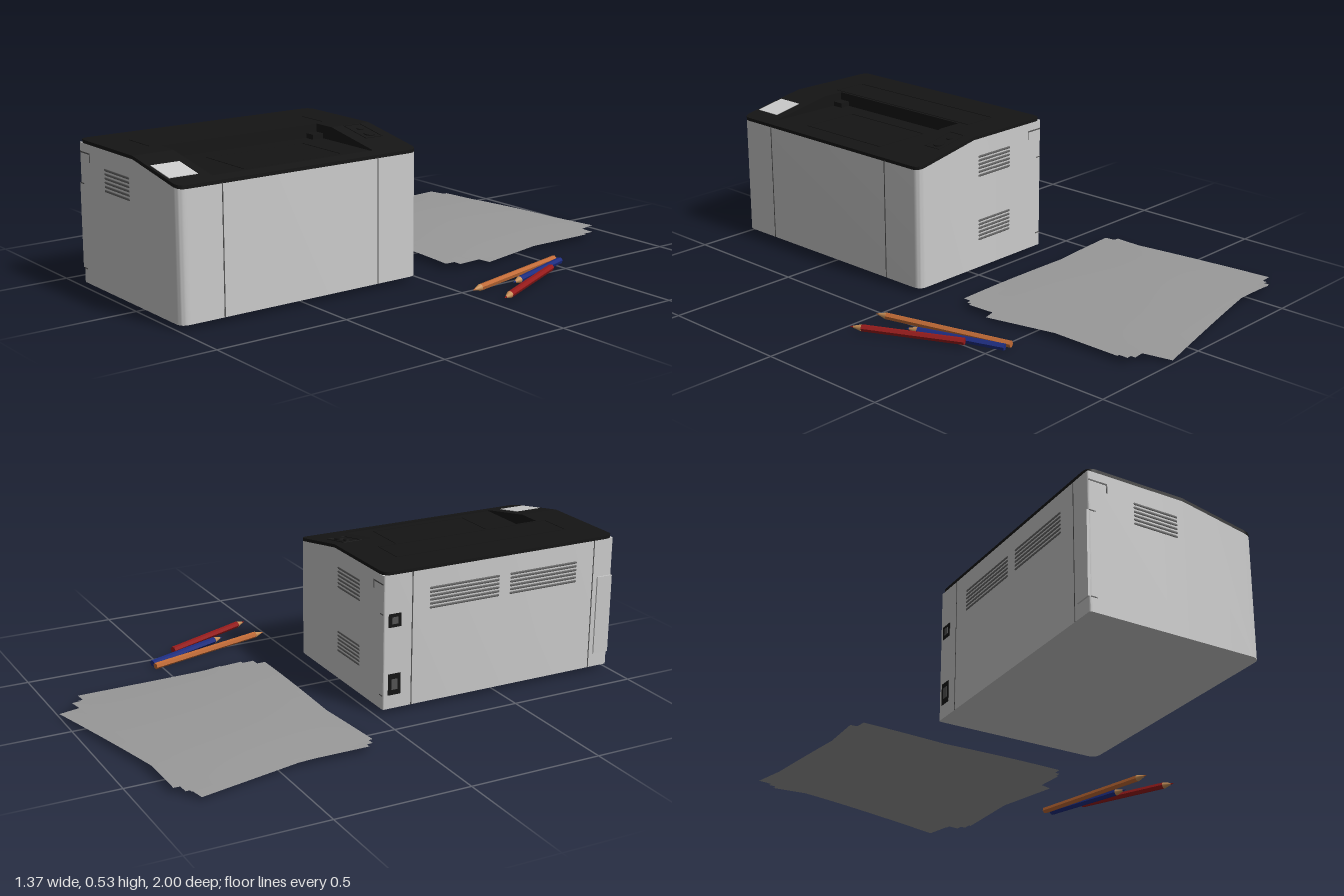
import * as THREE from 'three';
import { toCreasedNormals } from 'three/addons/utils/BufferGeometryUtils.js';

const mat = (color) => new THREE.MeshStandardMaterial({ color });
const grey = mat(0xcccccc), black = mat(0x151515), slotMat = mat(0x666666);
const seamMat = mat(0x555555), wood = mat(0xc89058);
const paper = new THREE.MeshStandardMaterial({ color: 0x999999, side: THREE.DoubleSide });

const X0 = -0.368, X1 = 0.283, Z0 = 0.025, Z1 = 0.995; // printer footprint
const topY = (x) => (x < 0 ? 0.53 : 0.53 - (0.052 * x) / X1);

function add(parent, name, geometry, material, x = 0, y = 0, z = 0) {
  const m = new THREE.Mesh(geometry, material);
  m.name = name;
  m.position.set(x, y, z);
  parent.add(m);
  return m;
}

function box(parent, name, material, x0, x1, y0, y1, z0, z1) {
  return add(parent, name, new THREE.BoxGeometry(x1 - x0, y1 - y0, z1 - z0), material,
    (x0 + x1) / 2, (y0 + y1) / 2, (z0 + z1) / 2);
}

// Half of the plan outline from x = 0 to xEnd, notched for the paper tray
function halfPlan(xEnd, r, notchX, nz0, nz1) {
  const q = xEnd - Math.sign(xEnd) * r, s = new THREE.Shape();
  s.moveTo(0, Z0);
  s.lineTo(q, Z0);
  s.quadraticCurveTo(xEnd, Z0, xEnd, Z0 + r);
  s.lineTo(xEnd, Z1 - r);
  s.quadraticCurveTo(xEnd, Z1, q, Z1);
  s.lineTo(0, Z1);
  s.lineTo(0, nz1);
  s.lineTo(notchX, nz1);
  s.lineTo(notchX, nz0);
  s.lineTo(0, nz0);
  return s;
}

// Extrude a plan upward, then move its two ends onto the bottom and top rules
function raise(shape, bottom, top) {
  const g = new THREE.ExtrudeGeometry(shape, { depth: 1, bevelEnabled: false, curveSegments: 8 });
  g.rotateX(Math.PI / 2);
  const p = g.attributes.position;
  for (let i = 0; i < p.count; i++) {
    const x = p.getX(i);
    p.setY(i, p.getY(i) > -0.5 ? top(x) : bottom(x));
  }
  return toCreasedNormals(g, 0.6);
}

// Thin rectangular outline lying on the top surface
function outline(parent, name, x0, x1, z0, z1, y) {
  const t = 0.004, h = 0.003;
  for (const z of [z0, z1 - t]) box(parent, name, black, x0, x1, y, y + h, z, z + t);
  for (const x of [x0, x1 - t]) box(parent, name, black, x, x + t, y, y + h, z0, z1);
}

// A stack of rounded vent slots, facing +z at the group's origin
function vent(parent, name, width, rows, x, y, z, angle) {
  const g = new THREE.Group();
  g.name = name;
  g.position.set(x, y, z);
  g.rotation.y = angle;
  const slot = new THREE.CapsuleGeometry(0.0045, width - 0.009, 3, 8).rotateZ(Math.PI / 2).scale(1, 1, 0.4);
  for (let i = 0; i < rows; i++) add(g, 'ventSlot', slot, slotMat, 0, (i - (rows - 1) / 2) * 0.0145, 0);
  parent.add(g);
}

function makePrinter() {
  const g = new THREE.Group();
  g.name = 'printer';

  // Casing and the dark cover that follows the sloping top
  for (const [end, r, notch] of [[X0, 0.008, -0.1], [X1, 0.035, 0.25]]) {
    add(g, 'casing', raise(halfPlan(end, r, notch, 0.18, 0.85), () => 0.018, (x) => topY(x) - 0.012), grey);
    add(g, 'topCover', raise(halfPlan(end, 0.035, notch - 0.01 * Math.sign(end), 0.19, 0.84),
      (x) => topY(x) - 0.012, topY), black);
  }
  box(g, 'casingCore', grey, -0.1, 0.25, 0.018, 0.47, 0.18, 0.85);

  // Output tray recess
  box(g, 'trayFloor', black, -0.1, 0.25, 0.47, 0.482, 0.18, 0.85);
  box(g, 'trayWall', black, -0.1, -0.09, 0.47, 0.525, 0.18, 0.85);
  const side = new THREE.Shape([[-0.1, 0.47], [0.25, 0.47], [0.25, topY(0.25) - 0.004], [0, 0.526], [-0.1, 0.526]]
    .map((p) => new THREE.Vector2(...p)));
  const sideGeo = new THREE.ExtrudeGeometry(side, { depth: 0.01, bevelEnabled: false });
  for (const z of [0.18, 0.84]) add(g, 'traySide', sideGeo, black, 0, 0, z);
  outline(g, 'paperSupport', -0.02, 0.21, 0.3, 0.7, 0.481);
  for (const z of [0.21, 0.82]) box(g, 'exitRoller', black, -0.09, -0.05, 0.482, 0.5, z - 0.025, z + 0.025);
  outline(g, 'lidSeam', -0.235, -0.1, 0.15, 0.875, 0.529);

  // Control strip, buttons and pale label on the slope
  const slope = new THREE.Group();
  slope.name = 'controls';
  slope.position.set(0, 0.53, 0);
  slope.rotation.z = -Math.atan(0.052 / X1);
  g.add(slope);
  outline(slope, 'controlFrame', 0.005, 0.14, 0.065, 0.14, -0.001);
  for (const [x, r] of [[0.05, 0.013], [0.105, 0.021]])
    add(slope, 'button', new THREE.CylinderGeometry(r, r, 0.006, 24), black, x, 0.001, 0.1);
  box(slope, 'labelPlate', grey, 0.1, 0.217, -0.002, 0.002, 0.877, 0.985);

  // Vents on the front, back and side
  vent(g, 'frontVent', 0.17, 6, -0.11, 0.413, Z1, 0);
  for (const y of [0.413, 0.165]) vent(g, 'backVent', 0.17, 6, -0.11, y, Z0, Math.PI);
  for (const z of [0.355, 0.69]) vent(g, 'sideVent', 0.29, 6, X0, 0.41, z, -Math.PI / 2);

  // Panel seams
  for (const z of [0.2, 0.83]) box(g, 'panelSeam', seamMat, X1 - 0.002, X1 + 0.001, 0.018, 0.468, z - 0.002, z + 0.002);
  for (const z of [0.14, 0.91]) box(g, 'panelSeam', seamMat, X0 - 0.001, X0 + 0.002, 0.018, 0.518, z - 0.002, z + 0.002);
  for (const z of [Z0, Z1]) {
    box(g, 'cornerSeam', seamMat, X0 + 0.004, -0.295, 0.483, 0.488, z - 0.001, z + 0.001);
    box(g, 'cornerSeam', seamMat, -0.299, -0.295, 0.455, 0.488, z - 0.001, z + 0.001);
    for (const y of [0.375, 0.07]) box(g, 'cornerSeam', seamMat, X0 + 0.004, -0.342, y - 0.002, y + 0.002, z - 0.001, z + 0.001);
  }

  // Side grip and sockets
  box(g, 'sideGrip', grey, X0 - 0.006, X0 + 0.01, 0.07, 0.375, 0.93, 0.994);
  for (const [y, h] of [[0.35, 0.05], [0.11, 0.08]]) {
    box(g, 'socket', black, X0 - 0.002, X0 + 0.01, y - h / 2, y + h / 2, 0.045, 0.095);
    box(g, 'socketInsert', seamMat, X0 - 0.004, X0 + 0.01, y - h / 4, y + h / 4, 0.058, 0.082);
  }
  return g;
}

// Loose sheets, each gently domed and turned a little differently
function makePapers() {
  const g = new THREE.Group();
  g.name = 'paperStack';
  const sheets = [[-0.2, -0.56, 12.8], [-0.19, -0.52, 4], [-0.185, -0.51, -1], [-0.175, -0.53, 1.5], [-0.2, -0.535, 7]];
  sheets.forEach(([x, z, deg], k) => {
    const geo = new THREE.PlaneGeometry(0.855, 0.705, 16, 14).rotateX(-Math.PI / 2);
    const p = geo.attributes.position;
    for (let i = 0; i < p.count; i++) {
      const u = p.getX(i) / 0.43, v = p.getZ(i) / 0.353;
      p.setY(i, 0.016 * (1 - u * u) * (1 - 0.5 * v * v) + 0.002 * Math.sin(3 * u + k) * Math.cos(2 * v));
    }
    geo.computeVertexNormals();
    add(g, 'sheet', geo, paper, x, 0.012 + k * 0.0035, z).rotation.y = THREE.MathUtils.degToRad(deg);
  });
  return g;
}

// Six-sided pencil from its blunt end to its tip
function makePencil(name, color, from, to) {
  const g = new THREE.Group();
  g.name = name;
  const a = new THREE.Vector3(...from), d = new THREE.Vector3(...to).sub(a);
  const len = d.length(), r = 0.0125, tip = 0.045, paint = mat(color);
  paint.flatShading = true;
  add(g, 'pencilShaft', new THREE.CylinderGeometry(r, r, len - tip, 6), paint, 0, (len - tip) / 2, 0);
  add(g, 'pencilWood', new THREE.CylinderGeometry(r * 0.3, r, tip * 0.7, 12), wood, 0, len - tip * 0.65, 0);
  add(g, 'pencilLead', new THREE.ConeGeometry(r * 0.3, tip * 0.3, 12), paint, 0, len - tip * 0.15, 0);
  g.position.copy(a);
  g.quaternion.setFromUnitVectors(new THREE.Vector3(0, 1, 0), d.normalize());
  return g;
}

export function createModel() {
  const model = new THREE.Group();
  model.name = 'printerWithPaperAndPencils';
  model.add(
    makePrinter(),
    makePapers(),
    makePencil('orangePencil', 0xc06a35, [0.405, 0.0125, -0.53], [0.54, 0.016, -0.015]),
    makePencil('bluePencil', 0x1c2c80, [0.437, 0.0125, -0.53], [0.56, 0.018, -0.185]),
    makePencil('redPencil', 0x961a1a, [0.51, 0.022, -0.415], [0.68, 0.018, -0.035]),
  );
  return model;
}
